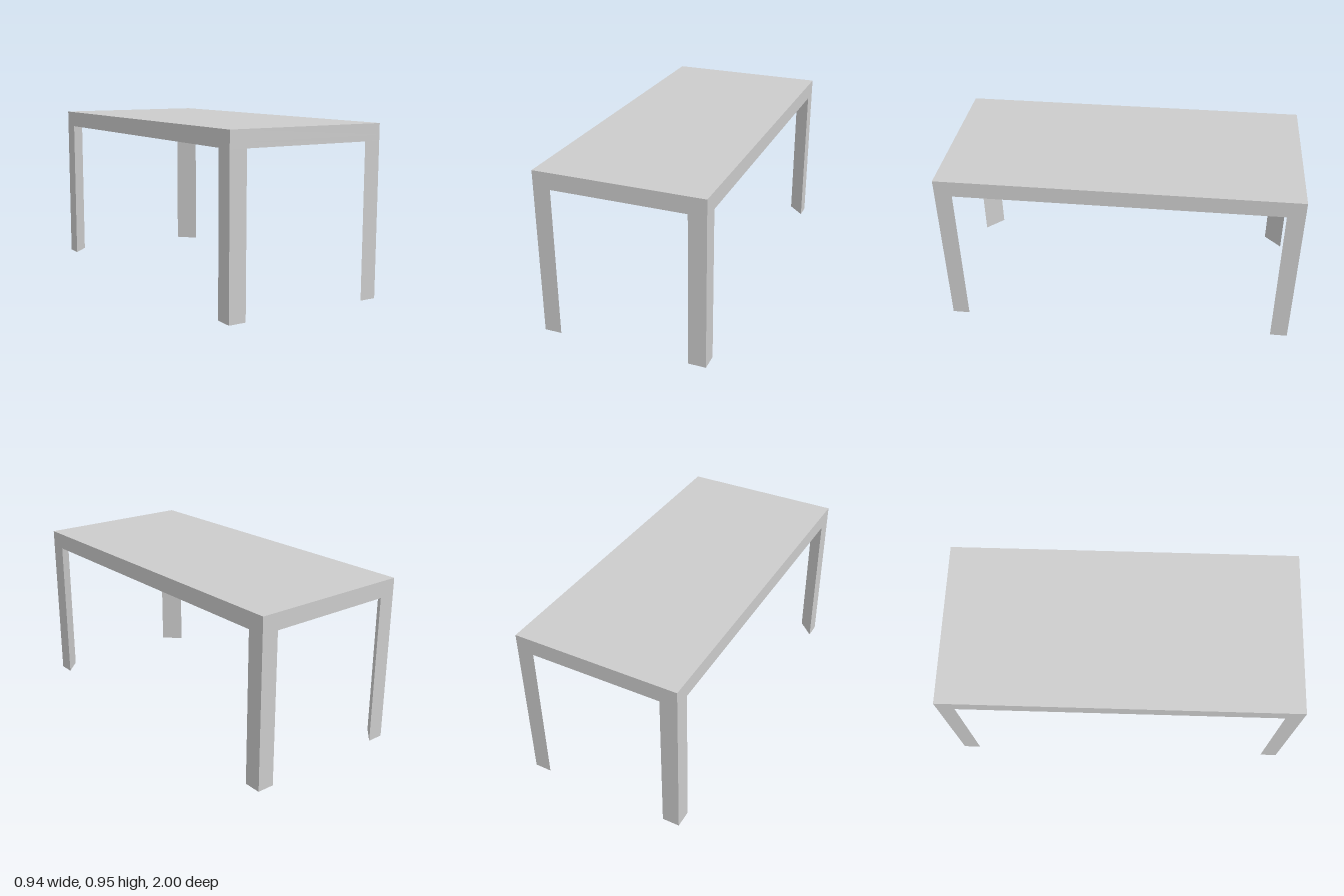
import * as THREE from 'three';

const W = 0.47, D = 1, H = 0.95;      // half width, half depth, height
const RIM_BOTTOM = 0.857, RIM_TOP = 0.889, RIM = 0.03;
const LEG = 0.098;

const material = new THREE.MeshStandardMaterial({ color: 0xcccccc, flatShading: true });

const toPoints = (pairs) => pairs.map(([x, z]) => new THREE.Vector2(x, -z));
const rect = (w, d) => toPoints([[-w, -d], [w, -d], [w, d], [-w, d]]);

// Raises a floor-plan shape from y0 to y1
function prism(name, shape, y0, y1) {
  const geometry = new THREE.ExtrudeGeometry(shape, { depth: y1 - y0, bevelEnabled: false });
  geometry.rotateX(-Math.PI / 2).translate(0, y0, 0);
  const mesh = new THREE.Mesh(geometry, material);
  mesh.name = name;
  return mesh;
}

export function createModel() {
  const table = new THREE.Group();
  table.name = 'table';

  // Flat top
  table.add(prism('tabletop', new THREE.Shape(rect(W, D)), RIM_TOP, H));

  // Thin rim hanging below the edge of the top
  const rim = new THREE.Shape(rect(W, D));
  rim.holes.push(new THREE.Path(rect(W - RIM, D - RIM)));
  table.add(prism('rim', rim, RIM_BOTTOM, RIM_TOP));

  // Triangular legs, square outside and cut diagonally inside
  for (const sx of [-1, 1]) {
    for (const sz of [-1, 1]) {
      const plan = toPoints([
        [sx * W, sz * D],
        [sx * (W - LEG), sz * D],
        [sx * W, sz * (D - LEG)],
      ]);
      const name = (sz > 0 ? 'front' : 'back') + (sx > 0 ? 'Left' : 'Right') + 'Leg';
      table.add(prism(name, new THREE.Shape(plan), 0, RIM_BOTTOM));
    }
  }
  return table;
}
